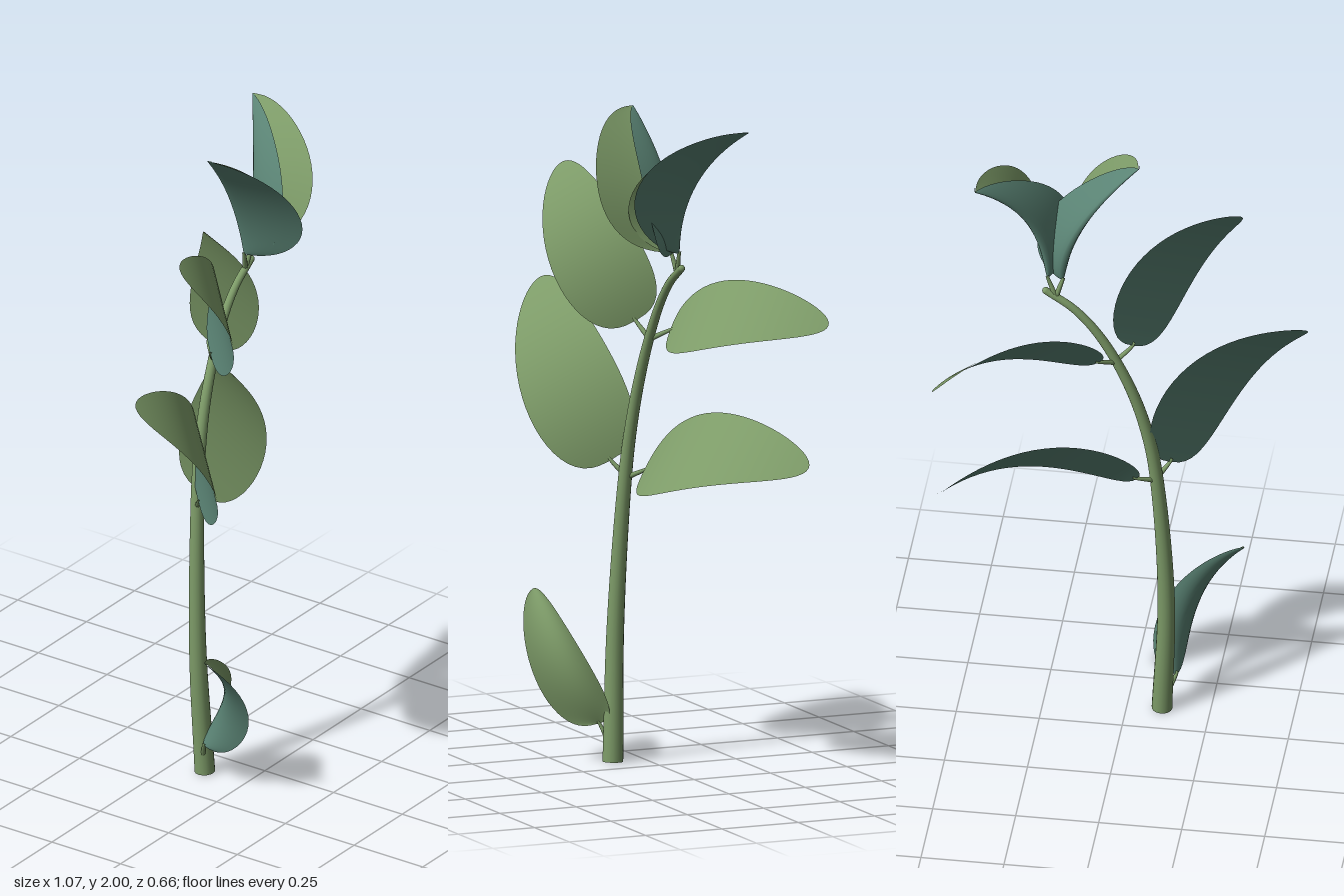
import * as THREE from 'three';

const V = (p) => new THREE.Vector3(...p);

// Tube along points whose radius shrinks from r0 to r1
function taperedTube(points, r0, r1, segments, sides) {
  const curve = new THREE.CatmullRomCurve3(points.map(V));
  const geo = new THREE.TubeGeometry(curve, segments, 1, sides);
  const pos = geo.attributes.position;
  const p = new THREE.Vector3();
  for (let i = 0; i <= segments; i++) {
    const c = curve.getPointAt(i / segments);
    const r = THREE.MathUtils.lerp(r0, r1, i / segments);
    for (let j = 0; j <= sides; j++) {
      const k = i * (sides + 1) + j;
      p.fromBufferAttribute(pos, k).sub(c).multiplyScalar(r).add(c);
      pos.setXYZ(k, p.x, p.y, p.z);
    }
  }
  return geo;
}

// One face of an arched blade: midrib runs base -> mid -> tip, w is the half-width
// vector, cup folds the edges up beside the midrib, skew below 1 widens it near the base
function bladeGeometry({ base, mid, tip, w, cup = [0, 0, 0], skew = 0.75 }, flip) {
  const NU = 28, NV = 14, HALF_THICKNESS = 0.0015;
  const a = V(base), c = V(tip), side = V(w), fold = V(cup);
  const ctrl = V(mid).multiplyScalar(2).sub(a.clone().add(c).multiplyScalar(0.5));
  const rib = new THREE.QuadraticBezierCurve3(a, ctrl, c);
  const verts = [], index = [];
  for (let i = 0; i <= NU; i++) {
    const t = 0.5 - 0.5 * Math.cos((Math.PI * i) / NU);
    const s = 2 * Math.pow(t, skew) - 1;
    const width = Math.max(Math.sqrt(Math.max(1 - s * s, 0)) * (1.15 - 0.3 * t), 0.004);
    const p = rib.getPoint(t);
    for (let j = 0; j <= NV; j++) {
      const v = (2 * j) / NV - 1;
      const q = p.clone().addScaledVector(side, width * v).addScaledVector(fold, width * v * v);
      verts.push(q.x, q.y, q.z);
      if (i < NU && j < NV) {
        const k = i * (NV + 1) + j, n = k + NV + 1;
        if (flip) index.push(k, n, k + 1, k + 1, n, n + 1);
        else index.push(k, k + 1, n, k + 1, n + 1, n);
      }
    }
  }
  const geo = new THREE.BufferGeometry();
  const pos = new THREE.Float32BufferAttribute(verts, 3);
  geo.setAttribute('position', pos);
  geo.setIndex(index);
  geo.computeVertexNormals();
  // Push the face out along its normals to give the leaf a little thickness
  const normal = new THREE.Vector3(), q = new THREE.Vector3();
  for (let k = 0; k < pos.count; k++) {
    normal.fromBufferAttribute(geo.attributes.normal, k);
    q.fromBufferAttribute(pos, k).addScaledVector(normal, HALF_THICKNESS);
    pos.setXYZ(k, q.x, q.y, q.z);
  }
  return geo;
}

export function createModel() {
  const material = (name, color) => {
    const m = new THREE.MeshStandardMaterial({ color });
    m.name = name;
    return m;
  };
  const green = material('leaf and stem green', 0x7d9b68);
  const underside = material('leaf underside', 0x5a8374);

  const model = new THREE.Group();
  model.name = 'plant';
  const add = (parent, name, geo, mat) => {
    const mesh = new THREE.Mesh(geo, mat);
    mesh.name = name;
    parent.add(mesh);
    return mesh;
  };

  // Curved stem with closed ends
  const path = [[-0.105, 0, 0.105], [-0.12, 0.4, 0.09], [-0.1, 0.8, 0.073], [-0.075, 1.0, 0.062],
    [-0.02, 1.2, 0.05], [0.07, 1.39, 0.04], [0.15, 1.49, 0.036], [0.235, 1.55, 0.035]];
  add(model, 'stem', taperedTube(path, 0.031, 0.011, 60, 16), green);
  const foot = add(model, 'stemFoot', new THREE.CircleGeometry(0.031, 16), green);
  foot.rotation.x = Math.PI / 2;
  foot.position.set(-0.105, 0.001, 0.105);
  add(model, 'stemEnd', new THREE.SphereGeometry(0.011, 10, 8), green).position.set(0.235, 1.55, 0.035);

  // Leaves: joint on the stem, midrib points, half width and fold
  const leaves = [
    { name: 'bottomLeaf', joint: [-0.115, 0.04, 0.105], base: [-0.145, 0.11, 0.13], mid: [-0.185, 0.315, 0.238],
      tip: [-0.33, 0.5, 0.26], w: [0.046, 0.026, -0.065], cup: [0.03, 0, 0.03] },
    { name: 'lowerRightLeaf', joint: [-0.095, 0.87, 0.07], base: [-0.13, 0.91, 0.1], mid: [-0.27, 1.19, 0.2],
      tip: [-0.53, 1.4, 0.15], w: [0.085, 0.08, -0.1] },
    { name: 'lowerLeftLeaf', joint: [-0.095, 0.86, 0.07], base: [-0.04, 0.89, 0.03], mid: [0.264, 0.994, -0.049],
      tip: [0.525, 0.97, -0.25], w: [0.051, -0.1, 0.085] },
    { name: 'upperRightLeaf', joint: [0.03, 1.3, 0.045], base: [-0.022, 1.35, 0.068], mid: [-0.127, 1.592, 0.183],
      tip: [-0.33, 1.785, 0.17], w: [0.078, 0.073, -0.09] },
    { name: 'upperLeftLeaf', joint: [0.025, 1.3, 0.045], base: [0.07, 1.332, -0.005], mid: [0.318, 1.416, -0.106],
      tip: [0.525, 1.398, -0.315], w: [0.06, -0.086, 0.068] },
    { name: 'topRightLeaf', joint: [0.205, 1.53, 0.035], base: [0.185, 1.59, 0.045], mid: [0.12, 1.795, 0.04],
      tip: [-0.04, 2.0, 0.07], w: [0.048, -0.025, -0.06], cup: [0.07, -0.01, 0.17], skew: 1 },
    { name: 'topLeftLeaf', joint: [0.205, 1.53, 0.035], base: [0.23, 1.595, 0.04], mid: [0.29, 1.815, 0.01],
      tip: [0.43, 1.985, -0.095], w: [0.055, 0.02, 0.015], cup: [-0.025, 0.015, 0.175], skew: 1.05 },
  ];
  for (const leafShape of leaves) {
    const { name, joint, base, mid } = leafShape;
    const leaf = new THREE.Group();
    leaf.name = name;
    add(leaf, 'upperFace', bladeGeometry(leafShape, false), green);
    add(leaf, 'underFace', bladeGeometry(leafShape, true), underside);
    // Short stalk reaching a little way into the blade
    const inner = V(base).lerp(V(mid), 0.04).toArray();
    add(leaf, 'stalk', taperedTube([joint, base, inner], 0.009, 0.005, 8, 8), green);
    model.add(leaf);
  }
  return model;
}
